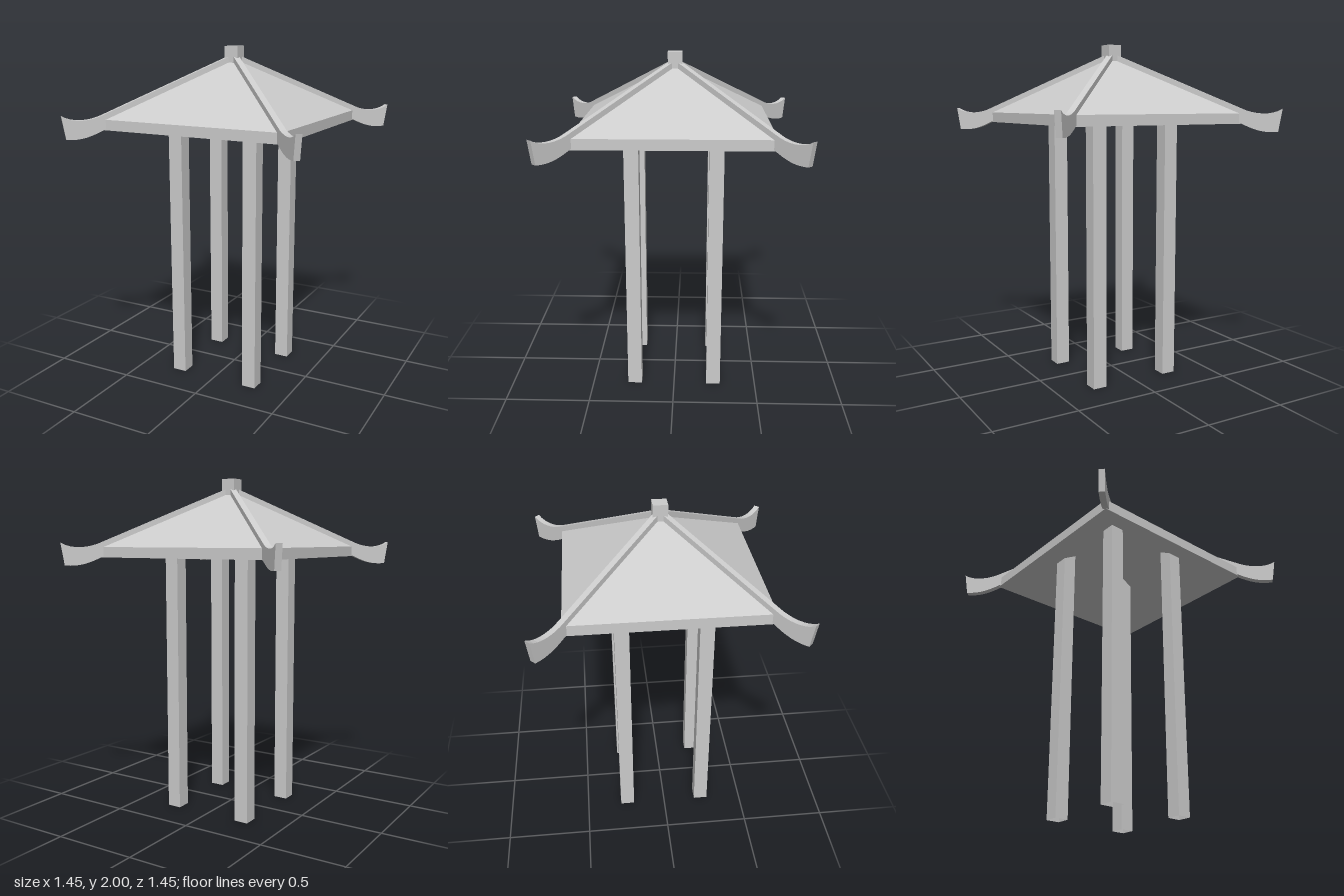
import * as THREE from 'three';

const material = new THREE.MeshStandardMaterial({ color: 0xcccccc, flatShading: true });
const openMaterial = new THREE.MeshStandardMaterial({ color: 0xcccccc, flatShading: true, side: THREE.DoubleSide });

// Open four-sided tube or pyramid whose sides face the axes
function squareTube(name, topHalf, bottomHalf, y0, y1) {
  const r = Math.SQRT2;
  const geometry = new THREE.CylinderGeometry(topHalf * r, bottomHalf * r, y1 - y0, 4, 1, true);
  geometry.rotateY(Math.PI / 4);
  geometry.translate(0, (y0 + y1) / 2, 0);
  const mesh = new THREE.Mesh(geometry, openMaterial);
  mesh.name = name;
  return mesh;
}

// Hip ridge with an upturned end, drawn in its own vertical plane
function ridgeGeometry() {
  const width = 0.035;
  const d = Math.SQRT2; // distance along the diagonal per unit of x
  const shape = new THREE.Shape();
  shape.moveTo(0.01 * d, 1.95);
  shape.lineTo(0.55 * d, 1.628);
  shape.bezierCurveTo(0.60 * d, 1.595, 0.67 * d, 1.585, 0.715 * d, 1.627);
  shape.lineTo(0.70 * d, 1.495);
  shape.bezierCurveTo(0.64 * d, 1.487, 0.60 * d, 1.507, 0.545 * d, 1.546);
  shape.lineTo(0.01 * d, 1.88);
  const geometry = new THREE.ExtrudeGeometry(shape, { depth: width, bevelEnabled: false, curveSegments: 8 });
  geometry.translate(0, 0, -width / 2);
  return geometry;
}

export function createModel() {
  const model = new THREE.Group();
  model.name = 'pavilion';

  // Four hollow posts reaching into the roof shell
  for (const x of [-1, 1]) {
    for (const z of [-1, 1]) {
      const post = squareTube('post', 0.0425, 0.0425, 0, 1.755);
      post.position.set(x * 0.2425, 0, z * 0.2425);
      model.add(post);
    }
  }

  // Pyramid roof shell: top, matching underside and the eave band
  const roof = new THREE.Group();
  roof.name = 'roof';
  roof.add(
    squareTube('roofTop', 0, 0.555, 1.6, 1.93),
    squareTube('roofUnderside', 0, 0.555, 1.54, 1.87),
    squareTube('eaveBand', 0.555, 0.555, 1.54, 1.6)
  );
  model.add(roof);

  // Ridges along the four hips
  const ridge = ridgeGeometry();
  for (let i = 0; i < 4; i++) {
    const mesh = new THREE.Mesh(ridge, material);
    mesh.name = 'hipRidge';
    mesh.rotation.y = Math.PI / 4 + i * Math.PI / 2;
    model.add(mesh);
  }

  // Block on the peak
  const finial = new THREE.Mesh(new THREE.BoxGeometry(0.084, 0.095, 0.084), material);
  finial.name = 'finial';
  finial.position.y = 1.9525;
  model.add(finial);

  return model;
}
